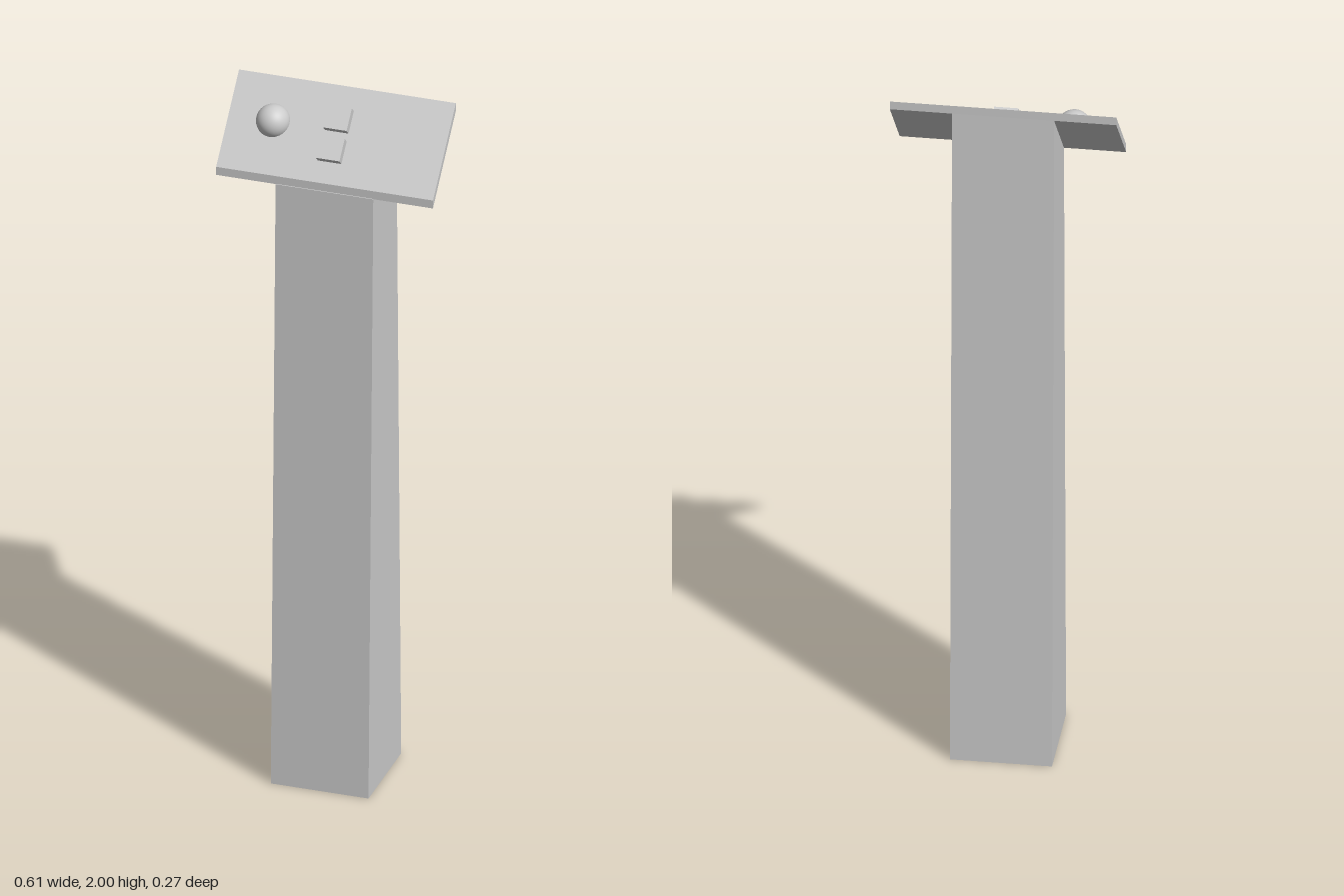
import * as THREE from 'three';

const material = new THREE.MeshStandardMaterial({ color: 0xcccccc });

// Extrude a side profile of [z, y] points across the width in x, centred on x = 0
function sideExtrusion(name, points, width) {
  const shape = new THREE.Shape(points.map(([z, y]) => new THREE.Vector2(-z, y)));
  const geometry = new THREE.ExtrudeGeometry(shape, { depth: width, bevelEnabled: false });
  geometry.translate(0, 0, -width / 2).rotateY(Math.PI / 2);
  const mesh = new THREE.Mesh(geometry, material);
  mesh.name = name;
  return mesh;
}

export function createModel() {
  const model = new THREE.Group();
  model.name = 'controlPedestal';

  // Tapered column with a slanted top
  model.add(sideExtrusion('column',
    [[0.137, 0], [0.097, 1.779], [-0.096, 1.976], [-0.137, 0]], 0.274));

  // Sloping panel with vertical front and back edges
  model.add(sideExtrusion('panel',
    [[0.096, 1.779], [0.096, 1.803], [-0.096, 2], [-0.096, 1.976]], 0.608));

  // Controls share a frame lying on the panel: local y is the panel normal
  const controls = new THREE.Group();
  controls.name = 'controls';
  controls.position.set(0, 1.9015, 0);
  controls.rotation.x = Math.atan2(0.197, 0.192);
  model.add(controls);

  // Two square push buttons, one above the other
  for (const [name, z] of [['upperButton', -0.041], ['lowerButton', 0.045]]) {
    const button = new THREE.Mesh(new THREE.BoxGeometry(0.066, 0.023, 0.064), material);
    button.name = name;
    button.position.set(0, 0.0115, z);
    controls.add(button);
  }

  // Domed button
  const dome = new THREE.Mesh(
    new THREE.SphereGeometry(0.046, 32, 12, 0, Math.PI * 2, 0, Math.PI / 2), material);
  dome.name = 'domeButton';
  dome.position.set(-0.179, 0, -0.0125);
  controls.add(dome);

  return model;
}
